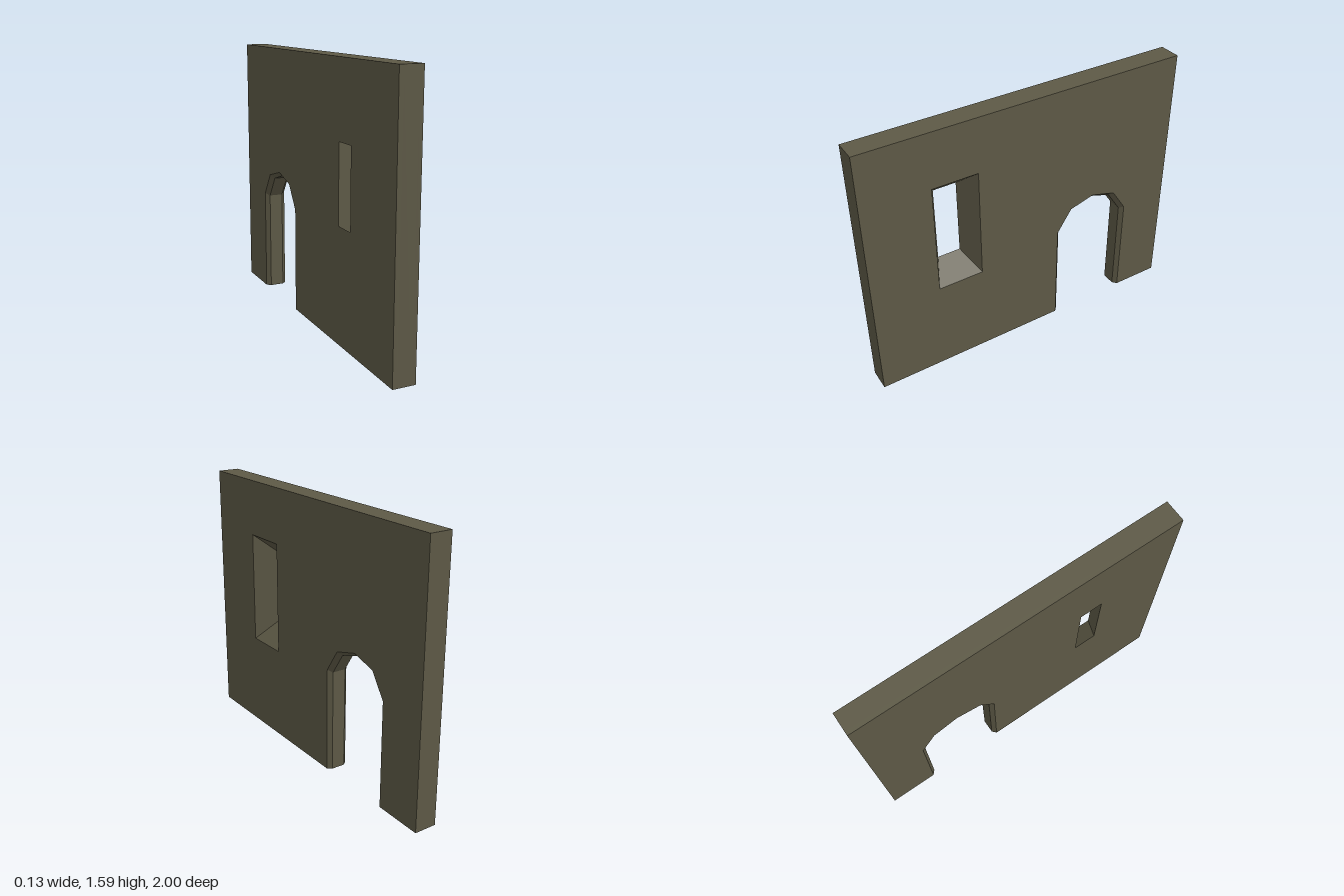
import * as THREE from 'three';

const HALF = 0.067;    // half the wall thickness
const HEIGHT = 1.59;
const CHAMFER = 0.025; // bevel depth around the doorway
const DOOR = 0.452;    // doorway centre along the wall

// Closed wall outline, notched by the doorway
function wallOutline([w1, y1, w2, y2, y3]) {
  return [
    [-1, 0], [DOOR - w1, 0], [DOOR - w1, y1], [DOOR - w2, y2], [DOOR, y3],
    [DOOR + w2, y2], [DOOR + w1, y1], [DOOR + w1, 0], [1, 0], [1, HEIGHT], [-1, HEIGHT],
  ];
}

// Clockwise rectangle, used as a hole
const rectHole = (u0, u1, y0, y1) => [[u0, y0], [u0, y1], [u1, y1], [u1, y0]];

// Flat-faced surface joining successive outlines; each ring is { points, depth }
function loft(rings) {
  const pos = [];
  for (let r = 0; r < rings.length - 1; r++) {
    const A = rings[r], B = rings[r + 1], n = A.points.length;
    for (let i = 0; i < n; i++) {
      const j = (i + 1) % n;
      const a = [...A.points[i], A.depth], b = [...A.points[j], A.depth];
      const c = [...B.points[j], B.depth], d = [...B.points[i], B.depth];
      pos.push(...a, ...b, ...c, ...a, ...c, ...d);
    }
  }
  const g = new THREE.BufferGeometry();
  g.setAttribute('position', new THREE.Float32BufferAttribute(pos, 3));
  g.computeVertexNormals();
  return g;
}

// Flat wall face with a window hole
function wallFace(outline, hole) {
  const toVec = ([u, y]) => new THREE.Vector2(u, y);
  const shape = new THREE.Shape(outline.map(toVec));
  shape.holes.push(new THREE.Path(hole.map(toVec)));
  return new THREE.ShapeGeometry(shape);
}

export function createModel() {
  const stone = new THREE.MeshStandardMaterial({ color: 0x5d5946 });
  stone.name = 'olive stone';

  const group = new THREE.Group();
  group.name = 'wallWithDoorway';
  const wall = new THREE.Group();
  wall.name = 'wall';
  wall.rotation.y = Math.PI / 2; // wall runs along z, wide side of window faces +x
  group.add(wall);

  const add = (name, geometry) => {
    const mesh = new THREE.Mesh(geometry, stone);
    mesh.name = name;
    wall.add(mesh);
    return mesh;
  };

  // Doorway is wider at the faces than at the middle of the wall
  const outer = wallOutline([0.25, 0.637, 0.157, 0.778, 0.822]);
  const inner = wallOutline([0.228, 0.622, 0.14, 0.755, 0.8]);
  // Window splays from a narrow slit to a wide opening
  const wide = rectHole(-0.597, -0.321, 0.573, 1.255);
  const narrow = rectHole(-0.53, -0.391, 0.684, 1.145);

  // Ends, top, underside and chamfered doorway
  add('wallEdgesAndDoorway', loft([
    { points: outer, depth: -HALF },
    { points: inner, depth: -HALF + CHAMFER },
    { points: inner, depth: HALF - CHAMFER },
    { points: outer, depth: HALF },
  ]));

  // Splayed window reveal
  add('windowReveal', loft([
    { points: narrow, depth: -HALF },
    { points: wide, depth: HALF },
  ]));

  // The two large faces; the narrow-window one is drawn mirrored and turned around
  add('wideWindowFace', wallFace(outer, wide)).position.z = HALF;
  const mirror = (pts) => pts.map(([u, y]) => [-u, y]).reverse();
  const narrowFace = add('narrowWindowFace', wallFace(mirror(outer), mirror(narrow)));
  narrowFace.rotation.y = Math.PI;
  narrowFace.position.z = -HALF;

  return group;
}
